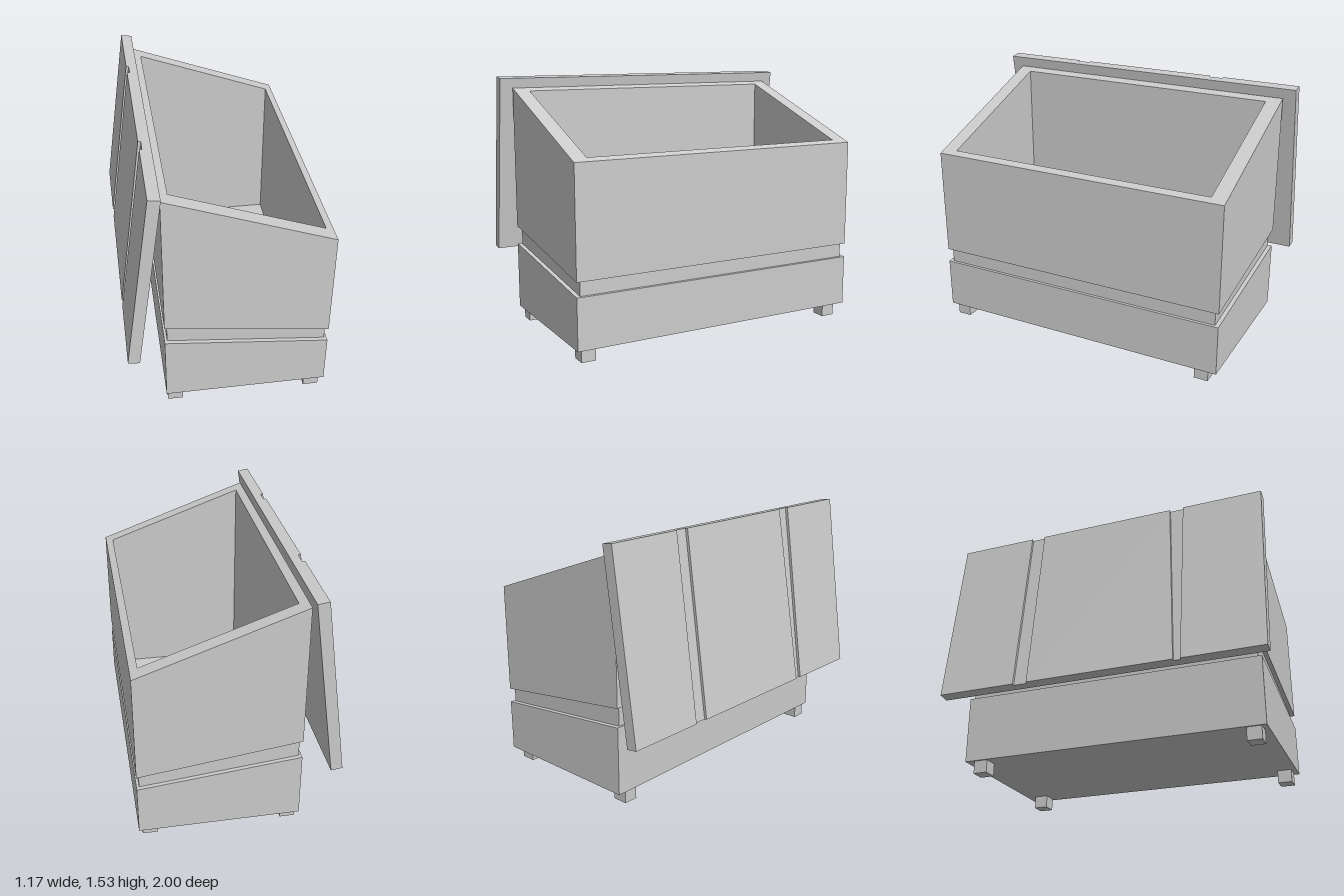
import * as THREE from 'three';

const material = new THREE.MeshStandardMaterial({ color: 0xcccccc, flatShading: true });

// Outer footprint of the bin, and the same footprint inset for the band and the cavity
const OUTER = { x0: -0.37, x1: 0.585, z0: -0.923, z1: 0.923 };
const BAND = { x0: -0.355, x1: 0.57, z0: -0.898, z1: 0.898 };
const INNER = { x0: -0.322, x1: 0.54, z0: -0.832, z1: 0.832 };

// A height that slopes from yBack at the back wall to yFront at the opposite wall
const slope = (yBack, yFront) => (x) =>
  yBack + ((yFront - yBack) * (x - OUTER.x0)) / (OUTER.x1 - OUTER.x0);

const UNDERSIDE = slope(0.077, 0.077);
const BASE_TOP = slope(0.485, 0.383);
const TUB_BOTTOM = slope(0.598, 0.469);
const RIM = slope(1.46, 1.12);
const FLOOR = slope(0.15, 0.15);

// Joins successive rectangular rings [footprint, height] with flat walls
function loft(rings, capStart, capEnd) {
  const loops = rings.map(([f, y]) =>
    [[f.x0, f.z1], [f.x1, f.z1], [f.x1, f.z0], [f.x0, f.z0]].map(([x, z]) => [x, y(x), z]));
  const positions = [];
  const quad = (a, b, c, d) => positions.push(...a, ...b, ...c, ...a, ...c, ...d);
  for (let k = 0; k + 1 < loops.length; k++) {
    for (let i = 0; i < 4; i++) {
      const j = (i + 1) % 4;
      quad(loops[k][i], loops[k][j], loops[k + 1][j], loops[k + 1][i]);
    }
  }
  if (capStart) quad(...[...loops[0]].reverse());
  if (capEnd) quad(...loops[loops.length - 1]);
  const geometry = new THREE.BufferGeometry();
  geometry.setAttribute('position', new THREE.Float32BufferAttribute(positions, 3));
  geometry.computeVertexNormals();
  return geometry;
}

function part(name, geometry) {
  const mesh = new THREE.Mesh(geometry, material);
  mesh.name = name;
  return mesh;
}

// Flat board cut from an outline of [across, along] points
function board(outline, thickness) {
  const shape = new THREE.Shape(outline.map(([x, y]) => new THREE.Vector2(x, y)));
  return new THREE.ExtrudeGeometry(shape, { depth: thickness, bevelEnabled: false });
}

// Lid leaning behind the bin: a core board with three raised panels and grooves between them
function createLid() {
  const lid = new THREE.Group();
  lid.name = 'lid';
  const length = 1.1, core = 0.052, raised = 0.016;
  lid.add(part('lidBoard', board([[-1, 0], [1, 0], [1, length], [-1, length]], core)));

  // Panel edges: bottom left, bottom right, top right, top left
  const panels = [
    [-1, -0.515, -0.515, -1],
    [-0.428, 0.47, 0.428, -0.428],
    [0.513, 1, 1, 0.513],
  ];
  panels.forEach(([a, b, c, d], i) => {
    const panel = part('lidPanel' + (i + 1),
      board([[a, 0], [b, 0], [c, length], [d, length]], raised));
    panel.position.z = core;
    lid.add(panel);
  });

  // Across runs along z, along runs up the lean, thickness points away from the bin
  const across = new THREE.Vector3(0, 0, 1);
  const along = new THREE.Vector3(0.15, 1.09, 0).normalize();
  const outward = new THREE.Vector3().crossVectors(across, along);
  lid.quaternion.setFromRotationMatrix(new THREE.Matrix4().makeBasis(across, along, outward));
  lid.position.set(-0.52, 0.43, 0);
  return lid;
}

export function createModel() {
  const model = new THREE.Group();
  model.name = 'storageBin';

  // Base, recessed band and hollow tub
  model.add(part('base', loft([[OUTER, UNDERSIDE], [OUTER, BASE_TOP], [BAND, BASE_TOP]], true, false)));
  model.add(part('recessedBand', loft([[BAND, BASE_TOP], [BAND, TUB_BOTTOM]], false, false)));
  model.add(part('tub', loft(
    [[BAND, TUB_BOTTOM], [OUTER, TUB_BOTTOM], [OUTER, RIM], [INNER, RIM], [INNER, FLOOR]], false, true)));

  // Four square feet
  for (const x of [-0.315, 0.515]) {
    for (const z of [-0.823, 0.85]) {
      const foot = part('foot', new THREE.BoxGeometry(0.09, 0.077, 0.086));
      foot.position.set(x, 0.0385, z);
      model.add(foot);
    }
  }

  model.add(createLid());
  return model;
}
